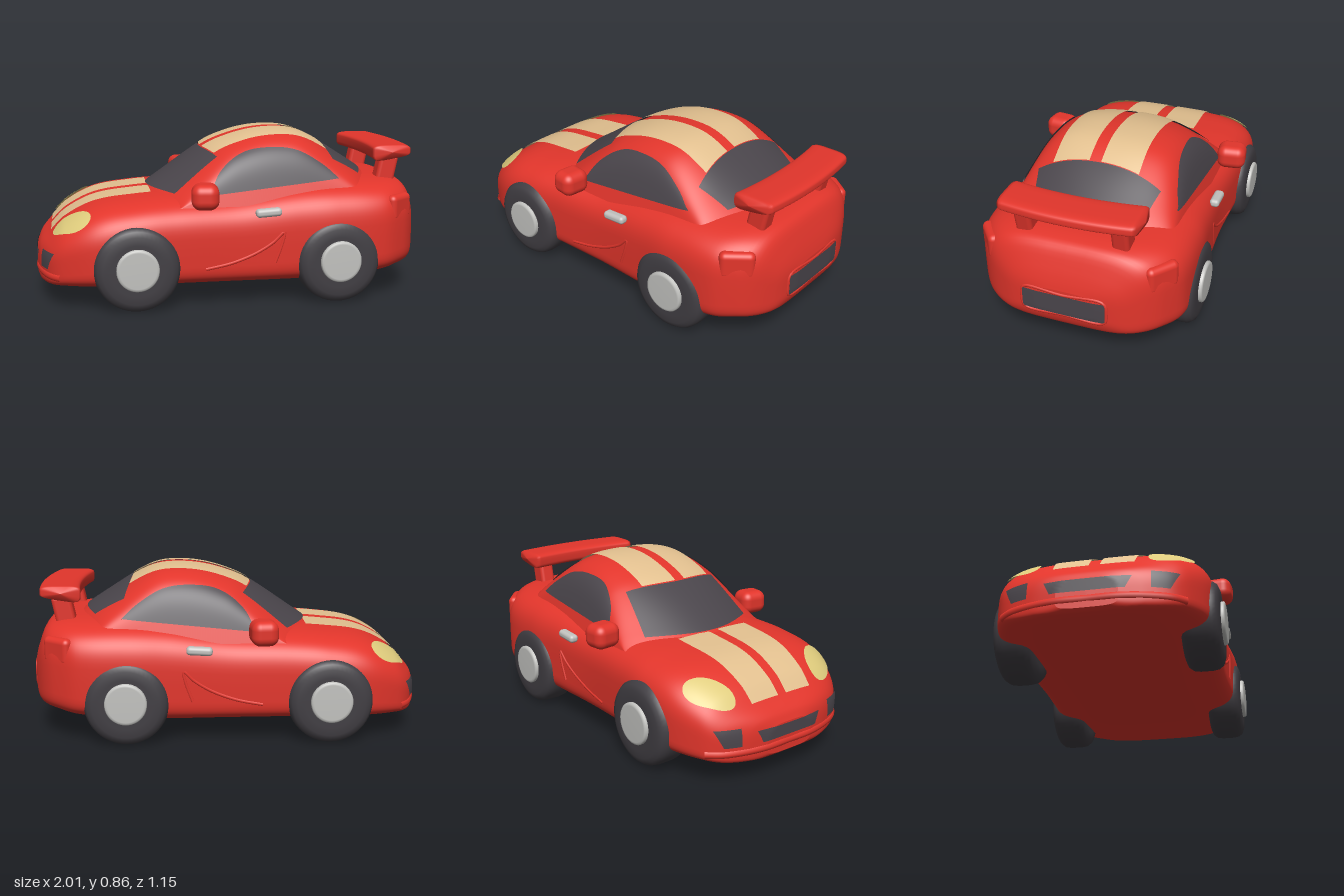
import * as THREE from 'three';
import { RoundedBoxGeometry } from 'three/addons/geometries/RoundedBoxGeometry.js';

const paint = (name, color) => new THREE.MeshStandardMaterial({ name, color, side: THREE.DoubleSide });
const mix = THREE.MathUtils.lerp;
const pos = (v) => Math.max(0, v);
const spow = (v, p) => Math.sign(v) * Math.pow(Math.abs(v), p);

// Smooth interpolation through rows of [x, value...]; k picks the column
function curve(rows, k = 1) {
  const slope = (i) => {
    const a = rows[Math.max(0, i - 1)], b = rows[Math.min(rows.length - 1, i + 1)];
    return (b[k] - a[k]) / (b[0] - a[0]);
  };
  return (x) => {
    x = Math.min(rows[rows.length - 1][0], Math.max(rows[0][0], x));
    let i = 0;
    while (i < rows.length - 2 && x > rows[i + 1][0]) i++;
    const h = rows[i + 1][0] - rows[i][0], t = (x - rows[i][0]) / h, q = 1 - t;
    return rows[i][k] * (1 + 2 * t) * q * q + slope(i) * h * t * q * q
      + rows[i + 1][k] * t * t * (3 - 2 * t) - slope(i + 1) * h * t * t * q;
  };
}

// Body stations: x, top, bottom, half width (nose at -x)
const BODY = [
  [-1, .265, .12, .14], [-.98, .305, .105, .25], [-.93, .355, .1, .375], [-.85, .435, .1, .45],
  [-.7, .51, .1, .51], [-.5, .54, .1, .52], [-.3, .552, .095, .51], [0, .56, .09, .5],
  [.3, .6, .09, .515], [.5, .613, .1, .53], [.75, .61, .12, .52], [.87, .6, .14, .455],
  [.93, .57, .15, .39], [.97, .48, .17, .31], [.99, .42, .21, .24], [1, .38, .25, .15],
];
const top = curve(BODY, 1), bottom = curve(BODY, 2), width = curve(BODY, 3);
const waist = (x) => bottom(x) + .45 * (top(x) - bottom(x));
// Section squareness: rounder shoulders at the nose, a flat floor
const crown = (x) => mix(2.7, 3.5, THREE.MathUtils.smoothstep(x, -.85, -.4));
const FLOOR = 6.5;

function bodyPoint(x, a) {
  const s = Math.sin(a), c = waist(x);
  const y = s > 0 ? c + (top(x) - c) * spow(s, 2 / crown(x)) : c + (c - bottom(x)) * spow(s, 2 / FLOOR);
  return new THREE.Vector3(x, y, width(x) * spow(Math.cos(a), .5));
}
const bodyY = (x, z) => {
  const c = waist(x);
  return c + (top(x) - c) * Math.pow(pos(1 - Math.pow(Math.abs(z) / width(x), 4)), 1 / crown(x));
};
const bodyZ = (x, y) => {
  const c = waist(x), up = y > c;
  const t = up ? (y - c) / (top(x) - c) : (c - y) / (c - bottom(x));
  return width(x) * Math.pow(pos(1 - Math.pow(t, up ? crown(x) : FLOOR)), .25);
};
// x of the nose (side -1) or tail (side 1) at a given y, z
function endX(side, y, z) {
  let out = 1, inn = .5;
  for (let i = 0; i < 24; i++) {
    const m = (out + inn) / 2;
    if (bodyZ(side * m, y) > Math.abs(z)) inn = m; else out = m;
  }
  return side * inn;
}

// Cabin: roof line over a tapered superelliptic section, with ends bowed in plan
const BASE = .5, MID = .25;
const roof = curve([[-.5, .501], [-.42, .555], [-.39, .575], [-.11, .76], [.01, .81], [.13, .84],
  [.25, .85], [.36, .84], [.46, .8], [.625, .7], [.76, .61], [.88, .501]]);
const cabinHalf = (y) => .43 - .3 * (y - .55);
const unbow = (x, z) => MID + (x - MID) * (1 + 2 * z * z);
const bow = (u, z) => MID + (u - MID) / (1 + 2 * z * z);

function cabinPoint(u, a) {
  const y = BASE + (roof(u) - BASE) * spow(Math.sin(a), 1 / 3);
  const z = cabinHalf(y) * spow(Math.cos(a), 2 / 3);
  return new THREE.Vector3(bow(u, z), y, z);
}
function cabinY(x, z) {
  const h = roof(unbow(x, z));
  let y = h;
  for (let i = 0; i < 12; i++) {
    y = BASE + (h - BASE) * Math.pow(pos(1 - Math.pow(Math.abs(z) / cabinHalf(y), 3)), 1 / 6);
  }
  return y;
}
function cabinZ(x, y) {
  let z = .36;
  for (let i = 0; i < 24; i++) {
    const t = Math.min(1, (y - BASE) / (roof(unbow(x, z)) - BASE));
    z = (z + cabinHalf(y) * Math.pow(pos(1 - Math.pow(t, 6)), 1 / 3)) / 2;
  }
  return z;
}

// Grid surface from f(u, v), u and v in 0..1, facing outward and lifted by `lift`
function surface(f, nu, nv, lift = 0, closed = false) {
  const pts = [], index = [], cols = closed ? nv : nv + 1;
  for (let i = 0; i <= nu; i++) for (let j = 0; j < cols; j++) pts.push(f(i / nu, j / nv));
  for (let i = 0; i < nu; i++) for (let j = 0; j < nv; j++) {
    const a = i * cols + j, b = i * cols + (j + 1) % cols, c = a + cols, d = b + cols;
    index.push(a, b, c, b, d, c);
  }
  const g = new THREE.BufferGeometry().setFromPoints(pts);
  g.setIndex(index);
  g.computeVertexNormals();
  const n = g.attributes.normal, p = g.attributes.position;
  let facing = 0;
  for (let i = 0; i < p.count; i++) {
    facing += n.getX(i) * p.getX(i) + n.getY(i) * (p.getY(i) - .3) + n.getZ(i) * p.getZ(i);
  }
  if (facing < 0) {
    g.setIndex(index.reverse());
    g.computeVertexNormals();
  }
  for (let i = 0; i < p.count && lift; i++) {
    p.setXYZ(i, p.getX(i) + n.getX(i) * lift, p.getY(i) + n.getY(i) * lift, p.getZ(i) + n.getZ(i) * lift);
  }
  return g;
}

export function createModel() {
  const car = new THREE.Group();
  car.name = 'sportsCar';
  const red = paint('red paint', 0xe2352b), dark = paint('dark glass', 0x4a454b);
  const rubber = paint('tyre rubber', 0x413e43), silver = paint('silver', 0xc2c2bf);
  const tan = paint('tan stripe', 0xe2c08f), yellow = paint('headlight yellow', 0xdecb7c);
  const add = (name, geo, mat, x = 0, y = 0, z = 0) => {
    const m = new THREE.Mesh(geo, mat);
    m.name = name;
    m.position.set(x, y, z);
    car.add(m);
    return m;
  };
  const V = (x, y, z) => new THREE.Vector3(x, y, z);
  const ridge = (name, pts, r, closed) =>
    add(name, new THREE.TubeGeometry(new THREE.CatmullRomCurve3(pts, closed), 64, r, 8, closed), red);

  // Body shell with closed ends, stations packed towards nose and tail
  add('body', surface((u, v) => {
    if (u === 0 || u === 1) return V(u * 2 - 1, waist(u * 2 - 1), 0);
    const x = -Math.cos(Math.PI * (u * 102 - 1) / 100);
    return bodyPoint(x, v * Math.PI * 2);
  }, 102, 96, 0, true), red);
  add('cabin', surface((u, v) => cabinPoint(mix(-.5, .88, u), v * Math.PI), 80, 96), red);

  // Windshield and rear window
  add('windshield', surface((u, v) => {
    const z = mix(-1, 1, v) * mix(.33, .285, u), x = bow(mix(-.42, -.13, u), z);
    return V(x, cabinY(x, z), z);
  }, 20, 32, .007), dark);
  add('rearWindow', surface((u, v) => {
    const z = mix(-1, 1, v) * mix(.315, .28, u), x = mix(.49 + .3 * z * z, bow(.735, z), u);
    return V(x, cabinY(x, z), z);
  }, 20, 32, .007), dark);

  // Twin stripes on hood and roof
  for (const [a, b] of [[-.21, -.015], [.045, .23]]) {
    add('hoodStripe', surface((u, v) => {
      const x = mix(-.92, -.415, u), z = mix(a, b, v) * mix(.86, 1, Math.sin(u * Math.PI / 2));
      return V(x, bodyY(x, z), z);
    }, 40, 10, .007), tan);
    add('roofStripe', surface((u, v) => {
      const z = mix(a, b, v) + .012, x = mix(bow(-.125, z), .487 + .3 * z * z, u);
      return V(x, cabinY(x, z), z);
    }, 40, 10, .009), tan);
  }

  const arch = curve([[-.14, .555], [-.08, .66], [.03, .745], [.16, .775], [.32, .762], [.45, .69], [.53, .62]]);
  const lathe = (pts) => new THREE.LatheGeometry(pts.map((p) => new THREE.Vector2(...p)), 48);
  const tyreGeo = lathe([[0, -.092], [.13, -.0925], [.17, -.09], [.195, -.08], [.21, -.06], [.215, -.03],
    [.215, .03], [.21, .06], [.195, .08], [.17, .09], [.13, .0925], [0, .092]]);
  const hubGeo = lathe([[.105, 0], [.105, .015], [.1, .021], [.09, .023], [0, .023]]);

  for (const s of [1, -1]) {
    // Side window
    add('sideWindow', surface((u, v) => {
      const x = mix(-.14, .53, u), y = mix(mix(.555, .62, u), arch(x), v);
      return V(x, y, s * cabinZ(x, y));
    }, 40, 16, .007), dark);

    // Headlight: tilted oval lying on the fender
    add('headlight', surface((u, v) => {
      const p = u * 2 - 1, q = v * 2 - 1;
      const a = .12 * p * Math.sqrt(1 - q * q / 2), b = .06 * q * Math.sqrt(1 - p * p / 2);
      const x = -.815 + a * .68 + b * .73, z = s * (.35 + a * .73 - b * .68);
      return V(x, bodyY(x, z), z);
    }, 16, 16, .009), yellow);

    // Side air intake
    add('sideIntake', surface((u, v) => {
      const y = mix(.2, .285, u), z = s * mix(.28, mix(.36, .4, u), v);
      return V(endX(-1, y, z), y, z);
    }, 8, 12, .007), dark);

    // Door handle, door scoop outline, mirror, tail lamp
    add('doorHandle', new RoundedBoxGeometry(.13, .042, .05, 4, .018), silver, .145, .478, s * .502).rotation.z = .06;
    ridge('doorScoop', [[-.17, .2], [-.04, .225], [.08, .27], [.17, .325], [.225, .375], [.215, .32], [.18, .22]]
      .map(([x, y]) => V(x, y, s * (bodyZ(x, y) - .004))), .009, false);
    add('mirror', new RoundedBoxGeometry(.135, .125, .15, 6, .045), red, -.172, .568, s * .497).rotation.y = -s * .12;
    add('tailLamp', new RoundedBoxGeometry(.17, .135, .06, 5, .028), red, .845, .47, s * .43).rotation.y = s * .68;

    // Spoiler strut leaning backwards
    const strut = add('spoilerStrut', new RoundedBoxGeometry(.1, .16, .085, 3, .02), red, .835, .64, s * .24);
    strut.rotation.z = -.2;

    // Wheels
    for (const x of [-.51, .51]) {
      add('tyre', tyreGeo, rubber, x, .215, s * .4525).rotation.x = s * Math.PI / 2;
      add('hubcap', hubGeo, silver, x, .222, s * .541).rotation.x = s * Math.PI / 2;
    }
  }

  // Front bumper lip and centre grille
  ridge('bumperLip', [-.42, -.36, -.26, -.14, 0, .14, .26, .36, .42]
    .map((z) => V(endX(-1, .165, z) + .016, .165, z)), .022, false);
  add('grille', surface((u, v) => {
    const y = mix(.2, .26, u), z = mix(-1, 1, v) * mix(.17, .2, u);
    return V(endX(-1, y, z), y, z);
  }, 8, 24, .005), dark);

  // Rear number panel with a raised frame
  add('rearPanel', surface((u, v) => {
    const y = mix(.247, .355, u), z = mix(-.207, .207, v);
    return V(endX(1, y, z), y, z);
  }, 10, 28, .005), dark);
  ridge('rearPanelFrame', [[-.2, .243], [0, .243], [.2, .243], [.213, .3], [.2, .359], [0, .359],
    [-.2, .359], [-.213, .3]].map(([z, y]) => V(endX(1, y, z) - .003, y, z)), .009, true);

  // Spoiler wing: thick front, thin rear edge, swept forward at the tips
  add('spoilerWing', surface((u, v) => {
    const z = mix(-.35, .35, u), a = v * Math.PI * 2;
    const tip = u === 0 || u === 1 ? 0 : Math.min(1, .8 + (.35 - Math.abs(z)) * 8);
    const c = spow(Math.cos(a), .5), h = Math.sin(a) > 0 ? .035 : mix(.055, .022, (c + 1) / 2);
    return V(.867 + .103 * c * tip - .25 * z * z, .74 + h * tip * spow(Math.sin(a), .5), z);
  }, 48, 40, 0, true), red);

  return car;
}
